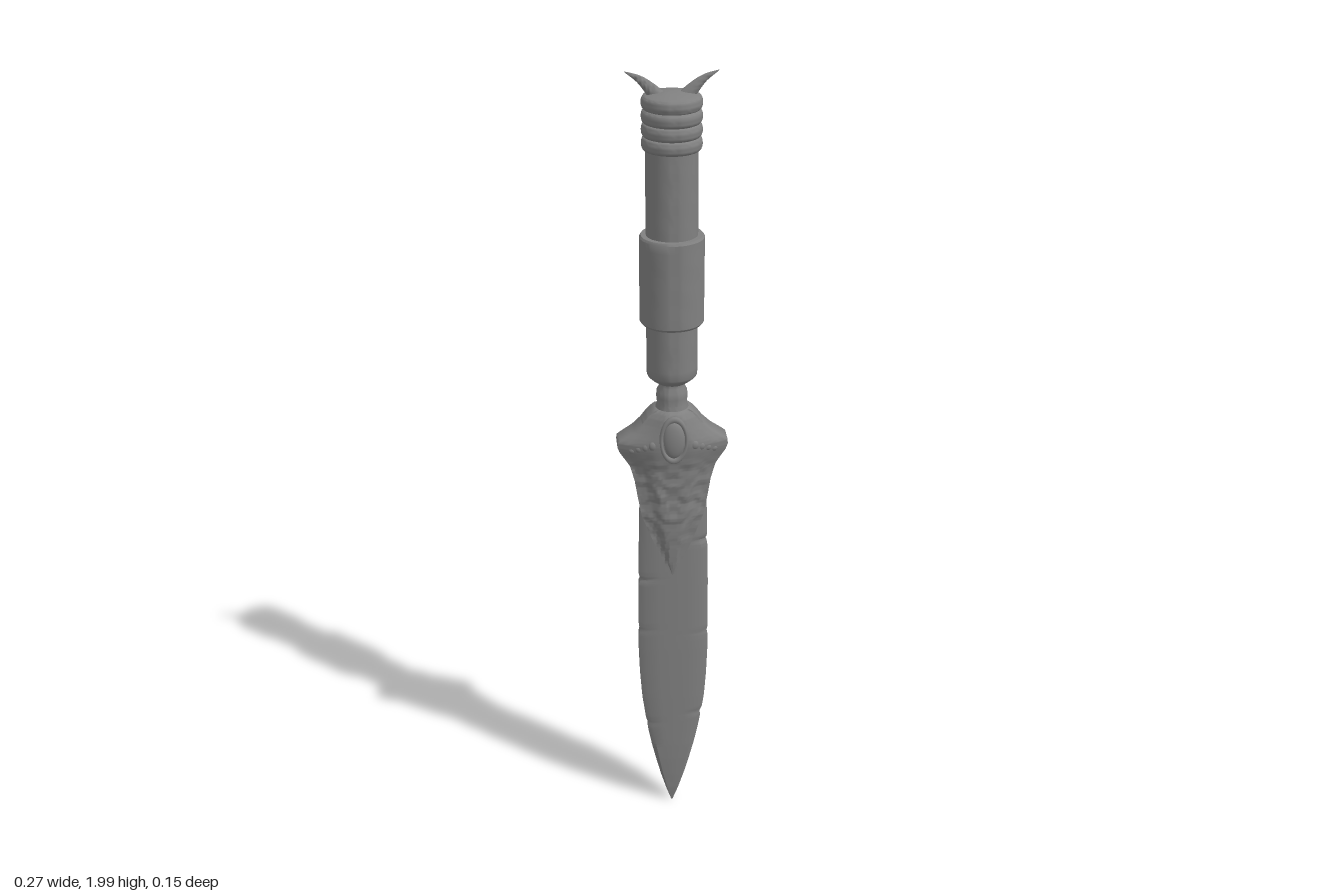
import * as THREE from 'three';
import { toCreasedNormals, mergeVertices } from 'three/addons/utils/BufferGeometryUtils.js';

const material = new THREE.MeshStandardMaterial({ color: 0x808080 });

function addMesh(parent, name, geometry) {
  const mesh = new THREE.Mesh(geometry, material);
  mesh.name = name;
  parent.add(mesh);
  return mesh;
}

// Piecewise linear lookup in rows of [key, value, value...]
function sample(rows, key, column = 1) {
  for (let i = 1; i < rows.length; i++) {
    if (key <= rows[i][0]) {
      const a = rows[i - 1], b = rows[i];
      const t = Math.max(0, (key - a[0]) / (b[0] - a[0]));
      return a[column] + (b[column] - a[column]) * t;
    }
  }
  return rows[rows.length - 1][column];
}

// Skin rings of [x, y, z], bottom to top, anticlockwise from above, with end caps
function loft(rings, crease) {
  const n = rings[0].length, index = [], points = rings.flat();
  for (let r = 0; r < rings.length - 1; r++) {
    for (let i = 0; i < n; i++) {
      const a = r * n + i, b = r * n + (i + 1) % n;
      index.push(a, b, b + n, a, b + n, a + n);
    }
  }
  const last = (rings.length - 1) * n;
  for (let i = 1; i < n - 1; i++) {
    index.push(0, i + 1, i, last, last + i, last + i + 1);
  }
  const geometry = new THREE.BufferGeometry();
  geometry.setAttribute('position', new THREE.Float32BufferAttribute(points.flat(), 3));
  geometry.setIndex(index);
  return toCreasedNormals(geometry, crease);
}

// Blade: bevelled section with a few small nicks in the edges
function bladeGeometry() {
  const outline = [
    [0.01, 0.002, 0.003], [0.05, 0.016, 0.009], [0.1, 0.031, 0.013], [0.15, 0.044, 0.016], [0.2, 0.056, 0.018],
    [0.25, 0.066, 0.019], [0.3, 0.074, 0.02], [0.35, 0.081, 0.021], [0.42, 0.086, 0.022], [0.5, 0.089, 0.023],
    [0.7, 0.088, 0.024], [0.9, 0.084, 0.025], [1.0, 0.078, 0.025],
  ];
  const section = [[1, 0], [1, 0.45], [0.8, 0.85], [0.4, 0.95], [0, 1], [-0.4, 0.95], [-0.8, 0.85], [-1, 0.45],
    [-1, 0], [-1, -0.45], [-0.8, -0.85], [-0.4, -0.95], [0, -1], [0.4, -0.95], [0.8, -0.85], [1, -0.45]];
  const nicks = [[1, 0.82, 0.007], [-1, 0.71, 0.005], [1, 0.55, 0.003], [-1, 0.56, 0.003],
    [1, 0.3, 0.004], [-1, 0.27, 0.003]];
  const rings = [];
  for (let k = 0; k <= 150; k++) {
    const y = 0.01 + 0.99 * k / 150;
    const w = sample(outline, y, 1), t = sample(outline, y, 2);
    rings.push(section.map(([u, v]) => {
      let cut = 0;
      for (const [side, ny, depth] of nicks) {
        if (u * side > 0.7) cut += depth * Math.max(0, 1 - Math.abs(y - ny) / 0.012);
      }
      const x = u * w - Math.sign(u) * cut + 0.003 * Math.min(1, y * 3);
      return [x, y, -v * (t - cut * 0.5)];
    }));
  }
  return loft(rings, 0.5);
}

// Guard: winged collar tapering to a point, with carved relief
function guardGeometry() {
  const outline = [
    [0.73, 0.004, 0.03], [0.76, 0.02, 0.034], [0.82, 0.046, 0.039], [0.9, 0.077, 0.045], [0.95, 0.086, 0.047],
    [1.0, 0.094, 0.05], [1.04, 0.105, 0.055], [1.06, 0.118, 0.058], [1.078, 0.13, 0.06], [1.092, 0.135, 0.062],
    [1.104, 0.134, 0.063], [1.114, 0.12, 0.063], [1.13, 0.096, 0.062], [1.15, 0.075, 0.059],
    [1.17, 0.06, 0.055], [1.18, 0.05, 0.05], [1.187, 0.04, 0.043],
  ];
  const depthAcross = [[0, 1], [0.35, 0.97], [0.55, 0.82], [0.8, 0.62], [1, 0.42]];
  const rings = [], half = 24;
  for (let k = 0; k <= 110; k++) {
    const y = 0.73 + 0.457 * k / 110;
    const w = sample(outline, y, 1), d = sample(outline, y, 2);
    const ring = [];
    for (const side of [1, -1]) {
      for (let i = 0; i <= half; i++) {
        const u = 1 - 2 * i / half, a = Math.abs(u);
        let z = Math.max(0.026, d * sample(depthAcross, a));
        // Raised border, central leaf and uneven scrollwork, fading into the smooth tip and collar
        if (a < 0.97) {
          const x = a * w;
          const fade = Math.max(0, Math.min(1, (y - 0.8) * 10, (1.08 - y) * 20));
          const border = Math.exp(-(((a - 0.85) / 0.12) ** 2)) * 0.003;
          const leaf = Math.exp(-(((x - 0.4 * Math.abs(y - 0.88)) / 0.011) ** 2)) * 0.004;
          const scroll = Math.sin(x * 95 + 1.8 * Math.sin(y * 60)) * Math.cos(y * 75 + 1.5 * Math.sin(x * 80)) * 0.0035;
          z += (border + leaf + scroll - 0.002) * fade;
        }
        ring.push([u * w * side, y, -z * side]);
      }
    }
    rings.push(ring);
  }
  return loft(rings, 0.9);
}

// Curved horn: tapered sections along an arc, slightly flattened
function hornGeometry() {
  const curve = new THREE.CatmullRomCurve3([
    [0.018, 1.925, 0], [0.045, 1.957, 0], [0.072, 1.982, 0], [0.106, 2.0, 0],
  ].map(p => new THREE.Vector3(...p)));
  const rings = [];
  for (let k = 0; k <= 16; k++) {
    const t = k / 16, p = curve.getPoint(t), tan = curve.getTangent(t);
    const r = 0.0004 + 0.021 * (1 - t) ** 0.85, ring = [];
    for (let i = 0; i < 16; i++) {
      const a = i / 16 * Math.PI * 2, c = Math.cos(a) * r;
      ring.push([p.x + tan.y * c, p.y - tan.x * c, -Math.sin(a) * r * 0.65]);
    }
    rings.push(ring);
  }
  return loft(rings, 0.9);
}

// Turned part from [radius, y] pairs, with optional shallow dents
function turned(profile, dent = 0) {
  const geometry = new THREE.LatheGeometry(profile.map(p => new THREE.Vector2(...p)), 48);
  const pos = geometry.attributes.position;
  for (let i = 0; i < pos.count; i++) {
    const x = pos.getX(i), y = pos.getY(i), z = pos.getZ(i), a = Math.atan2(x, z);
    const s = 1 - dent * Math.max(0, Math.sin(a * 3 + y * 37) * Math.sin(a * 2 - y * 53));
    pos.setXYZ(i, x * s, y, z * s);
  }
  geometry.deleteAttribute('normal');
  geometry.deleteAttribute('uv');
  return toCreasedNormals(mergeVertices(geometry), 0.6);
}

function createModel() {
  const model = new THREE.Group();
  model.name = 'dagger';

  addMesh(model, 'blade', bladeGeometry());
  addMesh(model, 'guard', guardGeometry());

  // Neck with a rounded bulge between guard and grip
  addMesh(model, 'neck', turned([[0, 1.16], [0.04, 1.16], [0.04, 1.188], [0.036, 1.198], [0.038, 1.215],
    [0.037, 1.23], [0.031, 1.242], [0.03, 1.25], [0.034, 1.27], [0, 1.27]]));

  // Grip shaft
  const grip = [[0, 1.252], [0.036, 1.252], [0.05, 1.262], [0.0585, 1.27]];
  for (let i = 0; i <= 28; i++) grip.push([0.061, 1.275 + i * 0.02]);
  grip.push([0, 1.835]);
  addMesh(model, 'grip', turned(grip, 0.012));

  // Thick sleeve around the grip
  const sleeve = [[0.055, 1.405], [0.072, 1.405], [0.0765, 1.411]];
  for (let i = 1; i <= 10; i++) sleeve.push([0.0765, 1.411 + i * 0.0206]);
  sleeve.push([0.073, 1.622], [0.055, 1.622]);
  addMesh(model, 'gripSleeve', turned(sleeve, 0.01));

  // Pommel: stacked rounded rings and a shallow cap
  const pommel = [[0.055, 1.82]];
  for (let ring = 0; ring < 4; ring++) {
    for (let i = 0; i <= 8; i++) {
      const a = Math.PI * i / 8;
      pommel.push([0.062 + 0.008 * Math.sin(a), 1.838 + ring * 0.031 - 0.0155 * Math.cos(a)]);
    }
  }
  pommel.push([0.045, 1.951], [0.02, 1.955], [0, 1.956]);
  addMesh(model, 'pommel', turned(pommel));

  // Pair of horns on the pommel
  for (const side of [1, -1]) {
    const horn = addMesh(model, side > 0 ? 'leftHorn' : 'rightHorn', hornGeometry());
    if (side < 0) horn.rotation.y = Math.PI;
  }

  // Oval gem in a rim, with small studs on the wings, on both faces
  for (const side of [1, -1]) {
    const face = new THREE.Group();
    face.name = side > 0 ? 'frontOrnament' : 'backOrnament';
    if (side < 0) face.rotation.y = Math.PI;
    model.add(face);
    const gem = addMesh(face, 'gem', new THREE.SphereGeometry(1, 24, 16));
    gem.scale.set(0.027, 0.048, 0.013);
    gem.position.set(0, 1.12, 0.057);
    const rim = addMesh(face, 'gemRim', new THREE.TorusGeometry(1, 0.15, 10, 36));
    rim.scale.set(0.031, 0.055, 0.045);
    rim.position.set(0, 1.12, 0.058);
    for (const wing of [1, -1]) {
      for (let i = 0; i < 4; i++) {
        const stud = addMesh(face, 'wingStud', new THREE.SphereGeometry(1, 12, 8));
        stud.scale.set(0.011, 0.012 - i * 0.001, 0.007);
        stud.position.set(wing * (0.05 + i * 0.016), 1.105 - i * 0.006, 0.055 - i * 0.0065);
      }
    }
  }
  return model;
}

export { createModel };
